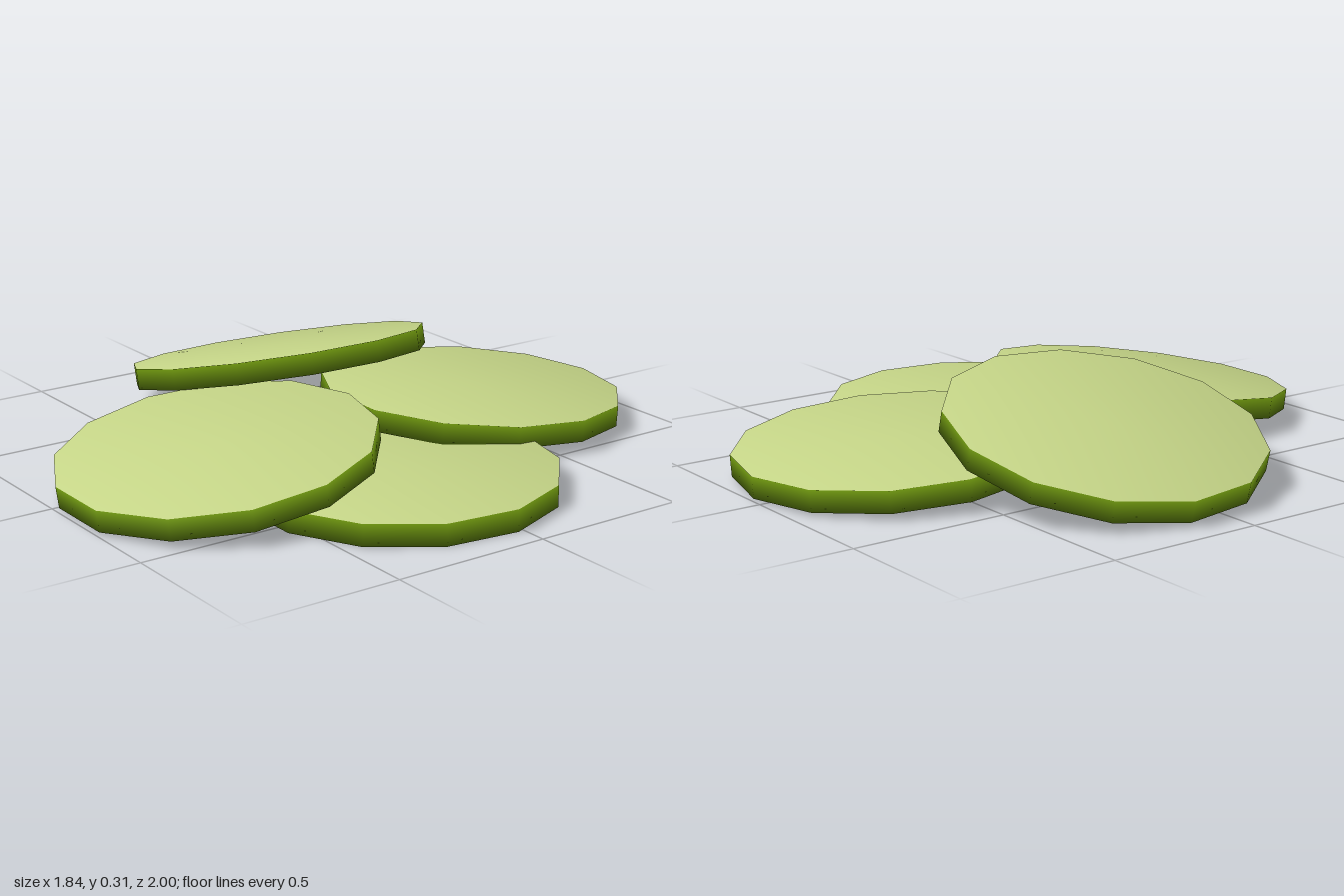
import * as THREE from 'three';
import { mergeVertices } from 'three/addons/utils/BufferGeometryUtils.js';

const RADIUS = 0.488;
const THICKNESS = 0.068;
const SIDES = 13;

// Thirteen-sided disc with normals smoothed over the rim; a corner points to -z
function sliceGeometry() {
  const disc = new THREE.CylinderGeometry(RADIUS, RADIUS, THICKNESS, SIDES);
  disc.rotateY(Math.PI);
  disc.deleteAttribute('normal');
  disc.deleteAttribute('uv');
  const smooth = mergeVertices(disc, 1e-4);
  smooth.computeVertexNormals();
  return smooth;
}

export function createModel() {
  const group = new THREE.Group();
  group.name = 'cucumberSlices';

  const skin = new THREE.MeshStandardMaterial({ color: 0x658a0c });
  skin.name = 'green skin';
  const flesh = new THREE.MeshStandardMaterial({ color: 0xc6d688 });
  flesh.name = 'pale flesh';

  // Each slice: centre, then tilt about x and z in degrees
  const slices = [
    ['rightSlice', [0.435, 0.036, 0.078], 0, 0],
    ['backSlice', [0.04, 0.077, -0.512], -4, 0],
    ['frontSlice', [0.143, 0.11, 0.526], 8, 0],
    ['leftSlice', [-0.444, 0.165, -0.092], 0, 14],
  ];

  const geometry = sliceGeometry();
  for (const [name, position, tiltX, tiltZ] of slices) {
    // Groups of the cylinder: side, top, bottom
    const slice = new THREE.Mesh(geometry, [skin, flesh, flesh]);
    slice.name = name;
    slice.position.set(...position);
    slice.rotation.set(THREE.MathUtils.degToRad(tiltX), 0, THREE.MathUtils.degToRad(tiltZ));
    group.add(slice);
  }
  return group;
}
